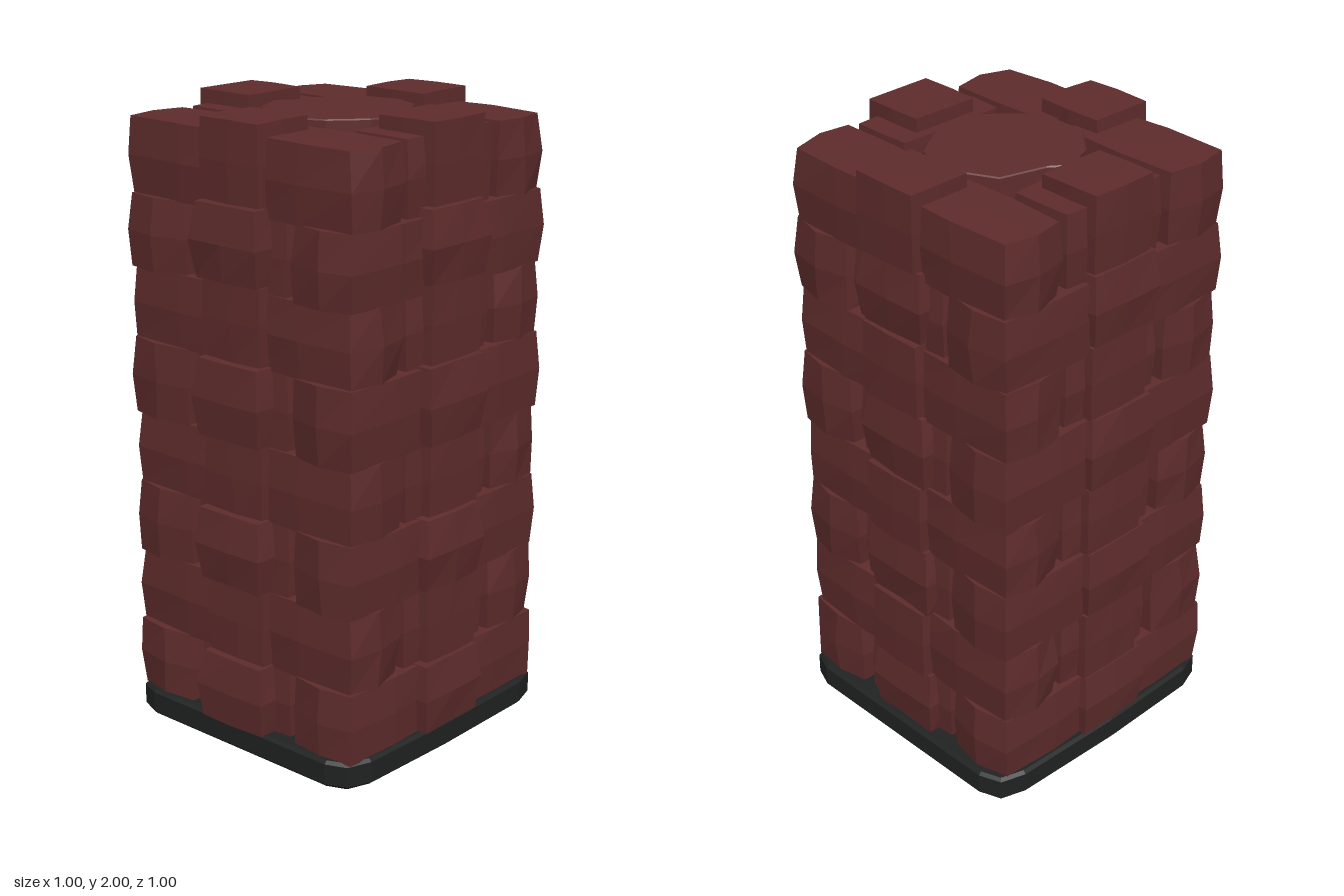
import * as THREE from 'three';

const brickMat = new THREE.MeshStandardMaterial({ color: 0x5f2c2c, flatShading: true });
brickMat.name = 'dark red brick';
const baseMat = new THREE.MeshStandardMaterial({ color: 0x202322, flatShading: true });
baseMat.name = 'charcoal stone';

// repeatable 0..1 value for a grid point of a given brick
function rand(a, b, c, seed) {
  const s = Math.sin(a * 12.99 + b * 78.23 + c * 37.72 + seed * 4.137) * 43758.5453;
  return s - Math.floor(s);
}

// rough hewn brick filling [x0,x1] [y0,y1] [z0,z1]
// bulge swells the sides at mid height, endX and endZ point the brick's ends in plan
function roughBrick(name, [x0, x1], [y0, y1], [z0, z1], seed, bulge, endX = 0.003, endZ = 0.003) {
  const g = new THREE.BoxGeometry(2, 2, 2, 2, 2, 2);
  const p = g.attributes.position;
  const hw = (x1 - x0) / 2, hh = (y1 - y0) / 2, hd = (z1 - z0) / 2;
  for (let i = 0; i < p.count; i++) {
    const u = Math.round(p.getX(i)), v = Math.round(p.getY(i)), w = Math.round(p.getZ(i));
    const inset = Math.abs(v) * bulge;
    const jx = inset * (0.6 + 0.6 * rand(u, v, w, seed)) + Math.abs(w) * endX * (0.7 + 0.6 * rand(w, u, v, seed));
    const jz = inset * (0.6 + 0.6 * rand(v, w, u, seed)) + Math.abs(u) * endZ * (0.7 + 0.6 * rand(u, w, v, seed));
    const jy = (Math.abs(u) + Math.abs(w)) * 0.002 * rand(w, v, u, seed);
    p.setXYZ(i,
      u * (hw - jx) + (u === 0 ? 0.02 * (rand(1, v, w, seed) - 0.5) : 0),
      v * (hh - jy),
      w * (hd - jz) + (w === 0 ? 0.02 * (rand(u, v, 2, seed) - 0.5) : 0));
  }
  g.computeVertexNormals();
  const m = new THREE.Mesh(g, brickMat);
  m.name = name;
  m.position.set((x0 + x1) / 2, (y0 + y1) / 2, (z0 + z1) / 2);
  return m;
}

// one ring: four corner bricks, two end bricks between them, four proud centre bricks
function buildCourse(index, yBody, yMid) {
  const course = new THREE.Group();
  course.name = 'course' + (index + 1);
  const even = index % 2 === 1;
  const seed = index * 17 + 3;

  // corner bricks run along x on even courses and along z on odd ones
  const xs = even ? [[-0.482, -0.012], [0.015, 0.462]] : [[-0.472, -0.212], [0.207, 0.46]];
  const zs = even ? [[-0.468, -0.228], [0.19, 0.437]] : [[-0.482, -0.008], [0.008, 0.458]];
  const ends = even ? [0.022, 0.008] : [0.008, 0.022];
  xs.forEach((x, i) => zs.forEach((z, j) =>
    course.add(roughBrick('cornerBrick', x, yBody, z, seed + i * 2 + j, 0.009, ...ends))));

  // recessed end bricks fill the space between the pairs of corner bricks
  if (even) {
    course.add(
      roughBrick('endBrick', [-0.46, -0.22], yBody, [-0.212, 0.178], seed + 9, 0.008, 0.012),
      roughBrick('endBrick', [0.21, 0.445], yBody, [-0.218, 0.18], seed + 10, 0.008, 0.012));
  } else {
    course.add(
      roughBrick('endBrick', [-0.2, 0.19], yBody, [-0.46, -0.22], seed + 9, 0.008, 0.003, 0.012),
      roughBrick('endBrick', [-0.2, 0.19], yBody, [0.2, 0.435], seed + 10, 0.008, 0.003, 0.012));
  }

  // centre bricks: flush on even courses, swollen on odd ones
  const b = even ? 0.003 : 0.016;
  const spanX = even ? [-0.125, 0.117] : [-0.146, 0.133];
  const spanZ = even ? [-0.135, 0.105] : [-0.142, 0.138];
  const out = even
    ? { front: 0.466, back: -0.495, right: -0.484, left: 0.474 }
    : { front: 0.5, back: -0.494, right: -0.5, left: 0.5 };
  course.add(
    roughBrick('frontBrick', spanX, yMid, [0.243, out.front], seed + 5, b),
    roughBrick('backBrick', spanX, yMid, [out.back, -0.275], seed + 6, b),
    roughBrick('rightBrick', [out.right, -0.265], yMid, spanZ, seed + 7, b),
    roughBrick('leftBrick', [0.253, out.left], yMid, spanZ, seed + 8, b));
  return course;
}

// horizontal outline (x, z) extruded upward
function prism(name, outline, y, height, mat, bevel) {
  const shape = new THREE.Shape(outline.map(([x, z]) => new THREE.Vector2(x, -z)));
  const g = new THREE.ExtrudeGeometry(shape, {
    depth: height - 2 * bevel, bevelEnabled: true, bevelThickness: bevel,
    bevelSize: bevel, bevelOffset: -bevel, bevelSegments: 1,
  });
  g.rotateX(-Math.PI / 2);
  g.translate(0, y + bevel, 0);
  const m = new THREE.Mesh(g, mat);
  m.name = name;
  return m;
}

export function createModel() {
  const model = new THREE.Group();
  model.name = 'brickColumn';

  // foot slab with clipped corners
  model.add(prism('footSlab', [
    [-0.38, -0.499], [0.37, -0.499], [0.44, -0.472], [0.466, -0.39],
    [0.474, 0], [0.466, 0.36], [0.437, 0.438], [0.37, 0.466], [-0.38, 0.466],
    [-0.45, 0.438], [-0.478, 0.36], [-0.488, 0], [-0.478, -0.39], [-0.452, -0.472],
  ], 0, 0.087, baseMat, 0.01));

  // eight stacked courses; the centre bricks sit slightly higher than the rest
  const bodyLevels = [0.087, 0.312, 0.557, 0.791, 1.024, 1.267, 1.496, 1.724, 1.957];
  const midLevels = [0.087, 0.315, 0.56, 0.795, 1.03, 1.275, 1.52, 1.752, 2];
  for (let i = 0; i < 8; i++) {
    model.add(buildCourse(i,
      [bodyLevels[i] - 0.006, bodyLevels[i + 1]],
      [midLevels[i], midLevels[i + 1]]));
  }

  // rubble core filling the middle
  model.add(prism('rubbleCore', [
    [-0.17, -0.2], [-0.08, -0.245], [0.02, -0.27], [0.12, -0.23], [0.2, -0.11],
    [0.225, 0], [0.2, 0.07], [0.11, 0.17], [0.02, 0.21], [-0.1, 0.21],
    [-0.2, 0.12], [-0.25, 0.005], [-0.21, -0.05],
  ], 0.08, 1.895, brickMat, 0.004));

  return model;
}
